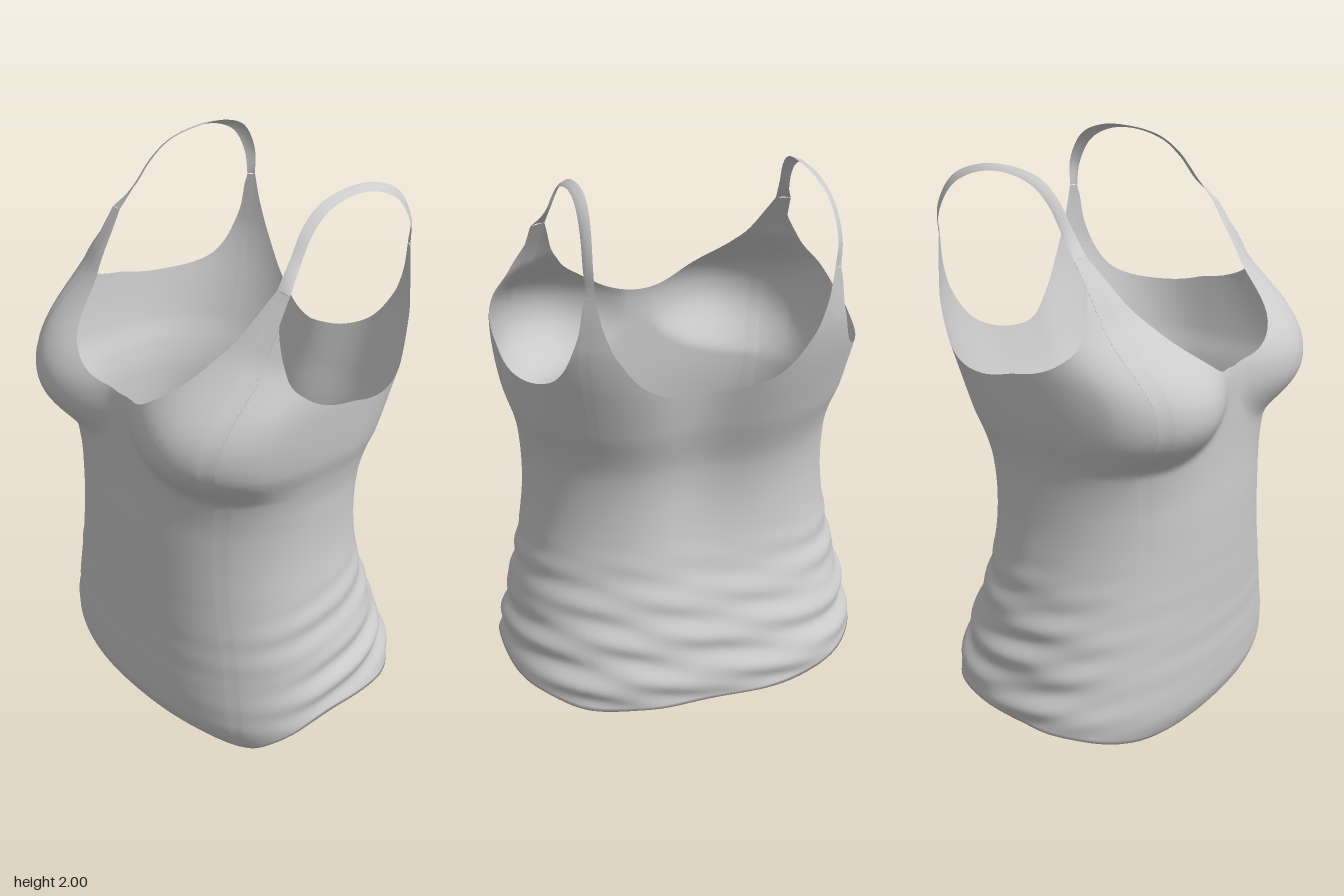
import * as THREE from 'three';

// smooth interpolation in a table of [t, value] pairs
function lut(table, t) {
  const n = table.length - 1;
  if (t <= table[0][0]) return table[0][1];
  if (t >= table[n][0]) return table[n][1];
  let i = 0;
  while (t > table[i + 1][0]) i++;
  const slope = (k) => {
    const a = table[Math.max(k - 1, 0)], b = table[Math.min(k + 1, n)];
    return (b[1] - a[1]) / (b[0] - a[0]);
  };
  const [t0, v0] = table[i], [t1, v1] = table[i + 1];
  const h = t1 - t0, s = (t - t0) / h, s2 = s * s, s3 = s2 * s;
  return v0 * (2 * s3 - 3 * s2 + 1) + v1 * (3 * s2 - 2 * s3)
    + h * (slope(i) * (s3 - 2 * s2 + s) + slope(i + 1) * (s3 - s2));
}

// half width, front depth, back depth and spine groove by height
const WIDTH = [[0, .66], [.15, .665], [.25, .645], [.4, .615], [.6, .57], [.8, .543], [1, .545],
  [1.1, .562], [1.2, .592], [1.4, .617], [1.5, .618], [1.6, .605], [1.76, .58]];
const FRONT = [[0, .365], [.05, .41], [.13, .436], [.4, .44], [.8, .445], [1, .44], [1.25, .445], [1.33, .44],
  [1.4, .415], [1.5, .35], [1.6, .285], [1.76, .15]];
const BACK = [[.1, .5], [.2, .505], [.3, .48], [.4, .45], [.6, .39], [.8, .365], [1, .378],
  [1.2, .445], [1.4, .5], [1.6, .53], [1.76, .54]];
const SPINE = [[.5, 0], [.8, .035], [1.1, .055], [1.4, .075]];
// squareness of the cross-section: 2 = ellipse
const FRONT_POWER = [[.2, 2.25], [.9, 2.3], [1.2, 2.9], [1.4, 2.9], [1.55, 2.5]];
const BACK_POWER = [[.1, 2.5], [.6, 2.25], [1, 2.25], [1.3, 2.45], [1.55, 2.95]];
// hem height by angle: 0 = front, 90 = +x side
const HEM = [[-180, .15], [-150, .14], [-110, .165], [-90, .14], [-65, .105], [-35, .045], [0, .02],
  [32, 0], [46, .025], [62, .1], [76, .165], [90, .19], [120, .17], [145, .135], [180, .15]];

const gauss = (d, w) => Math.exp(-(d * d) / (w * w));
const spow = (v, p) => Math.sign(v) * Math.abs(v) ** p;
const depthAt = (back, y) => lut(back ? BACK : FRONT, y);
const powerAt = (back, y) => lut(back ? BACK_POWER : FRONT_POWER, y);

// rounded breast: short underside, long upper slope
function bust(x, y) {
  const dx = Math.abs(x) - .37, dy = y - 1.26;
  const r2 = (dx / (dx < 0 ? .34 : .45)) ** 2 + (dy / (dy < 0 ? .21 : .33)) ** 2;
  return r2 < 1 ? .108 * (1 - r2) ** 1.5 : 0;
}

// point of the cloth at an angle and height
function cloth(angle, y) {
  const s = Math.sin(angle), c = Math.cos(angle), back = c < 0, e = 2 / powerAt(back, y);
  const x = lut(WIDTH, y) * spow(s, e);
  let z = depthAt(back, y) * spow(c, e);
  if (back) z += lut(SPINE, y) * gauss(x, .17);
  else z += bust(x, y) * Math.min(1, c * 2.5);
  // gathered folds towards the hem, strongest on sides and back
  const fade = THREE.MathUtils.smoothstep(.78 - y, 0, .4) * THREE.MathUtils.smoothstep(y, .03, .2);
  const where = .12 + .88 * THREE.MathUtils.smoothstep(-c, -.8, .1);
  const fold = Math.sin((y + .07 * c + .035 * s * c + .03 * s) * 44)
    + .6 * Math.sin((y - .1 * s + .06 * Math.sin(2 * angle)) * 67 + 1);
  const k = 1 + .012 * fade * where * fold;
  return new THREE.Vector3(x * k, y, z * k);
}

// angle of the cloth nearest to a point
function angleOf([x, y, z]) {
  const back = z < 0, p = powerAt(back, y) / 2;
  return Math.atan2(spow(x / lut(WIDTH, y), p), spow(z / depthAt(back, y), p));
}

// upper edge on the +x half: front neckline, armhole, back neckline
const NECK_FRONT = [[0, 1.33, .44], [.12, 1.35, .435], [.22, 1.41, .41], [.31, 1.5, .335],
  [.365, 1.6, .255], [.393, 1.7, .17], [.405, 1.76, .12]];
const ARMHOLE = [[.432, 1.755, .105], [.465, 1.7, .15], [.53, 1.6, .195], [.57, 1.53, .195], [.59, 1.47, .14],
  [.603, 1.415, .03], [.605, 1.385, -.1], [.595, 1.375, -.2], [.56, 1.39, -.32], [.53, 1.43, -.4],
  [.49, 1.5, -.44], [.45, 1.6, -.46], [.43, 1.7, -.465], [.42, 1.74, -.47]];
const NECK_BACK = [[.398, 1.745, -.49], [.375, 1.65, -.49], [.315, 1.53, -.475], [.22, 1.41, -.45],
  [.12, 1.35, -.43], [0, 1.33, -.42]];

function edgePoints(points, count) {
  const curve = new THREE.CatmullRomCurve3(points.map((p) => new THREE.Vector3(angleOf(p), p[1], 0)));
  return curve.getPoints(count).map((p) => [p.x, p.y]);
}

// indexed surface through rows of points
function gridGeometry(rows, closed) {
  const n = rows[0].length, pos = [], index = [];
  rows.forEach((row) => row.forEach((p) => pos.push(p.x, p.y, p.z)));
  for (let r = 0; r + 1 < rows.length; r++) {
    for (let i = 0; i < (closed ? n : n - 1); i++) {
      const a = r * n + i, b = r * n + (i + 1) % n;
      index.push(a, b, b + n, a, b + n, a + n);
    }
  }
  const geo = new THREE.BufferGeometry();
  geo.setAttribute('position', new THREE.Float32BufferAttribute(pos, 3));
  geo.setIndex(index);
  geo.computeVertexNormals();
  return geo;
}

export function createModel() {
  const group = new THREE.Group();
  const material = new THREE.MeshStandardMaterial({ color: 0xcccccc, roughness: .8, side: THREE.DoubleSide });
  const add = (name, geo) => {
    const mesh = new THREE.Mesh(geo, material);
    mesh.name = name;
    group.add(mesh);
  };

  // columns run round the body, from front centre over +x and back over -x
  const half = [...edgePoints(NECK_FRONT, 28), ...edgePoints(ARMHOLE, 64), ...edgePoints(NECK_BACK, 28)];
  const last = half.length - 1;
  const columns = half.map(([a, y], i) => ({ top: a, y, low: (a + Math.PI * i / last) / 2 }));
  for (let i = last - 1; i > 0; i--) {
    const c = columns[i];
    columns.push({ top: -c.top, y: c.y, low: -c.low });
  }
  const hem = (c) => lut(HEM, THREE.MathUtils.radToDeg(c.low));
  const inward = (p, k, dy) => new THREE.Vector3(p.x * k, p.y + dy, p.z * k);

  // body, with the cloth turned in at the hem
  const rows = [];
  rows.push(columns.map((c) => inward(cloth(c.low, hem(c) + .1), .965, 0)));
  rows.push(columns.map((c) => inward(cloth(c.low, hem(c)), .975, .012)));
  const STEPS = 110;
  for (let r = 0; r <= STEPS; r++) {
    const v = r / STEPS, blend = v * v * (3 - 2 * v);
    rows.push(columns.map((c) => cloth(
      THREE.MathUtils.lerp(c.low, c.top, blend), THREE.MathUtils.lerp(hem(c), c.y, v))));
  }
  add('body', gridGeometry(rows, true));

  // shoulder straps: ribbons between a neck edge and an arm edge
  const onCloth = (p) => cloth(angleOf(p), p[1]);
  const edge = (start, mid, end) => new THREE.CatmullRomCurve3(
    [onCloth(start), ...mid.map((p) => new THREE.Vector3(...p)), onCloth(end)]).getPoints(60);
  const neckEdge = edge(NECK_FRONT[6], [[.397, 1.838, .062], [.382, 1.925, -.003], [.371, 1.978, -.08],
    [.364, 2, -.2], [.369, 1.992, -.32], [.382, 1.945, -.42], [.392, 1.84, -.478]], NECK_BACK[0]);
  const armEdge = edge(ARMHOLE[0], [[.425, 1.822, .042], [.41, 1.903, -.018], [.402, 1.958, -.088],
    [.397, 1.985, -.2], [.402, 1.972, -.31], [.411, 1.92, -.4], [.417, 1.825, -.453]], ARMHOLE[13]);
  for (const side of [1, -1]) {
    const flip = (p) => new THREE.Vector3(p.x * side, p.y, p.z);
    const middle = neckEdge.map((p, i) => {
      const m = p.clone().lerp(armEdge[i], .5);
      return m.add(new THREE.Vector3(.004, .003, 0));
    });
    const strap = [neckEdge, middle, armEdge].map((row) => row.map(flip));
    if (side > 0) strap.reverse();
    add(side > 0 ? 'leftStrap' : 'rightStrap', gridGeometry(strap, false));
  }
  return group;
}
